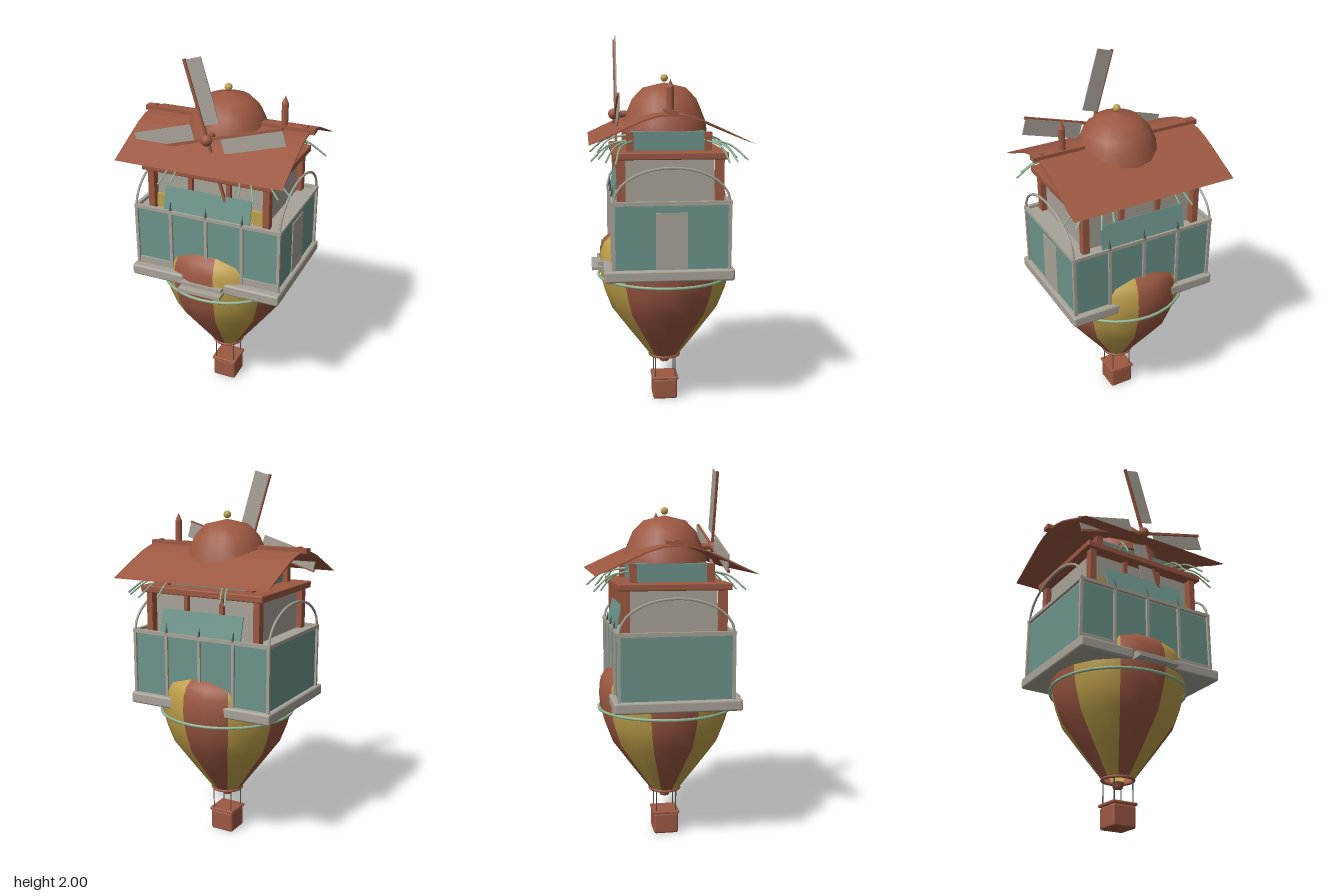
import * as THREE from 'three';
import { RoundedBoxGeometry } from 'three/addons/geometries/RoundedBoxGeometry.js';

const V2 = (x, y) => new THREE.Vector2(x, y);
const V3 = (x, y, z) => new THREE.Vector3(x, y, z);
const mat = (name, color, side = THREE.FrontSide) => {
  const m = new THREE.MeshStandardMaterial({ color, side });
  m.name = name;
  return m;
};

export function createModel() {
  const root = new THREE.Group();
  root.name = 'flyingWindmillHouse';
  const red = mat('terracotta', 0x9c5842, THREE.DoubleSide);
  const gold = mat('mustard', 0xbfa04a, THREE.DoubleSide);
  const teal = mat('teal', 0x6b938a, THREE.DoubleSide);
  const grey = mat('warmGrey', 0xa8a398);
  const green = mat('paleGreen', 0x8fb393);
  const dark = mat('darkMetal', 0x55564f);

  const add = (name, geo, m, x = 0, y = 0, z = 0, parent = root) => {
    const o = new THREE.Mesh(geo, m);
    o.name = name;
    o.position.set(x, y, z);
    parent.add(o);
    return o;
  };
  // box given by its min and max on each axis
  const box = (name, m, x0, x1, y0, y1, z0, z1, parent = root) =>
    add(name, new THREE.BoxGeometry(x1 - x0, y1 - y0, z1 - z0), m,
      (x0 + x1) / 2, (y0 + y1) / 2, (z0 + z1) / 2, parent);
  const rod = (name, m, r, y0, y1, x, z, sides = 8) =>
    add(name, new THREE.CylinderGeometry(r, r, y1 - y0, sides), m, x, (y0 + y1) / 2, z);
  const tube = (name, m, pts, r) =>
    add(name, new THREE.TubeGeometry(new THREE.CatmullRomCurve3(pts), 16, r, 6), m);

  // Basket, ropes and burner
  add('basket', new RoundedBoxGeometry(0.135, 0.115, 0.135, 2, 0.012), red, 0, 0.0575, 0);
  add('basketRim', new RoundedBoxGeometry(0.147, 0.016, 0.147, 2, 0.006), red, 0, 0.122, 0);
  for (const x of [-0.055, 0.055]) for (const z of [-0.055, 0.055])
    rod('basketRope', dark, 0.003, 0.12, 0.25, x, z, 5);
  add('burner', new THREE.CylinderGeometry(0.035, 0.025, 0.03, 10), red, 0, 0.222, 0);

  // Striped envelope: nine stripes, two red ones meet at the left side
  const skin = [[0.08, 0.25], [0.19, 0.395], [0.297, 0.54], [0.335, 0.64], [0.356, 0.72], [0.362, 0.79],
    [0.356, 0.86], [0.335, 0.91], [0.3, 0.94], [0.2, 1.01], [0, 1.05]].map(p => V2(...p));
  for (let i = 0; i < 9; i++) {
    const start = Math.PI / 2 + i * Math.PI * 2 / 9;
    add('envelopeStripe', new THREE.LatheGeometry(skin, 2, start, Math.PI * 2 / 9), i % 2 ? gold : red);
  }
  const ring = (name, m, r, t, y) => {
    add(name, new THREE.TorusGeometry(r, t, 8, 36), m, 0, y, 0).rotation.x = Math.PI / 2;
  };
  ring('mouthRing', red, 0.082, 0.008, 0.25);
  ring('envelopeRing', green, 0.363, 0.008, 0.72);

  // Platform with split front lip and step
  add('platform', new RoundedBoxGeometry(0.84, 0.06, 0.64, 2, 0.012), grey, 0, 0.8, 0);
  for (const s of [-1, 1])
    add('platformLip', new RoundedBoxGeometry(0.305, 0.06, 0.06, 2, 0.012), grey, s * 0.2675, 0.8, 0.31);
  box('frontStep', grey, -0.12, 0.12, 0.768, 0.786, 0.31, 0.4);
  box('frontTread', grey, -0.115, 0.115, 0.79, 0.81, 0.31, 0.368);

  // Lower storey: walls, frame and door
  box('lowerHouse', teal, -0.395, 0.395, 0.82, 1.155, -0.29, 0.288);
  box('deck', grey, -0.395, 0.395, 1.155, 1.162, -0.29, 0.288);
  for (const s of [-1, 1]) {
    for (const x of [-0.4, -0.2, 0, 0.2, 0.4])
      box('framePost', grey, x - 0.008, x + 0.008, 0.83, 1.175, s * 0.293 - 0.008, s * 0.293 + 0.008);
    box('longRail', grey, -0.408, 0.408, 1.16, 1.178, s * 0.293 - 0.01, s * 0.293 + 0.01);
    box('sideRail', grey, s * 0.4 - 0.01, s * 0.4 + 0.01, 1.16, 1.178, -0.3, 0.3);
    box('kickPlate', grey, s * 0.29 - 0.1, s * 0.29 + 0.1, 0.83, 0.868, 0.288, 0.297);
    // arched hoop over each end
    const arch = [];
    for (let i = 0; i <= 10; i++) {
      const a = Math.PI * i / 10;
      arch.push(V3(s * 0.4, 1.17 + 0.175 * Math.sin(a), 0.293 * Math.cos(a)));
    }
    tube('endHoop', grey, arch, 0.007);
  }
  box('door', grey, 0.394, 0.4, 0.83, 1.12, -0.08, 0.08);

  // Upper storey: walls, posts, wall plate and awnings
  box('upperWalls', grey, -0.305, 0.305, 1.16, 1.385, -0.225, 0.225);
  box('flowerPanel', gold, -0.3, 0.3, 1.16, 1.237, 0.228, 0.245);
  for (const s of [-1, 1]) {
    for (const x of [-0.318, 0.318])
      box('cornerPost', red, x - 0.017, x + 0.017, 1.16, 1.385, s * 0.25 - 0.022, s * 0.25 + 0.022);
    for (const x of [-0.105, 0.105])
      box('wallPost', red, x - 0.011, x + 0.011, 1.16, 1.385, s * 0.238 - 0.012, s * 0.238 + 0.012);
    const awning = box('awning', teal, -0.24, 0.24, 1.165, 1.3, s * 0.275 - 0.003, s * 0.275 + 0.003);
    awning.rotation.x = -s * 0.25;
    for (const x of [-0.2, 0, 0.2]) {
      const spike = add('railSpike', new THREE.ConeGeometry(0.008, 0.06, 6), dark, x, 1.2, s * 0.293);
      spike.rotation.x = -s * 0.15;
    }
  }
  add('wallPlate', new RoundedBoxGeometry(0.72, 0.036, 0.58, 2, 0.006), red, 0, 1.398, 0);
  box('atticWalls', teal, -0.24, 0.24, 1.41, 1.51, -0.19, 0.19);
  for (const x of [-0.25, 0.25]) for (const z of [-0.2, 0.2])
    box('atticPost', red, x - 0.018, x + 0.018, 1.41, 1.51, z - 0.018, z + 0.018);

  // Curved roof: thin section swept along x
  const outer = [[0.408, 1.462], [0.33, 1.498], [0.24, 1.54], [0.15, 1.58], [0.075, 1.602], [0, 1.609]];
  const top = [...outer.map(([z, y]) => [-z, y]), ...outer.slice(0, -1).reverse()];
  const section = [...top, ...top.slice(1, -1).reverse().map(([z, y]) => [z, y - 0.008])];
  const roofGeo = new THREE.ExtrudeGeometry(new THREE.Shape(section.map(p => V2(...p))),
    { depth: 0.89, bevelEnabled: false });
  roofGeo.translate(0, 0, -0.445).rotateY(Math.PI / 2);
  add('roof', roofGeo, red);
  box('ridgeBeam', red, -0.468, 0.468, 1.6, 1.625, -0.024, 0.024);
  for (const s of [-1, 1]) box('ridgeCap', red, s * 0.418 - 0.01, s * 0.418 + 0.01, 1.62, 1.631, -0.013, 0.013);
  rod('ridgePost', red, 0.018, 1.6, 1.735, 0.305, 0, 8);
  add('ridgePostTip', new THREE.ConeGeometry(0.018, 0.04, 8), red, 0.305, 1.755, 0);

  // Dome and finial
  const dome = [[0.23, 1.5], [0.222, 1.55], [0.196, 1.615], [0.172, 1.67], [0.115, 1.728], [0, 1.755]];
  add('dome', new THREE.LatheGeometry(dome.map(p => V2(...p)), 16), red);
  add('finial', new THREE.SphereGeometry(0.02, 12, 8), gold, 0, 1.778, 0);

  // Windmill: shaft, hub and four sails
  add('millShaft', new THREE.CylinderGeometry(0.018, 0.018, 0.12, 10), red, 0, 1.59, 0.215).rotation.x = Math.PI / 2;
  add('millHub', new THREE.SphereGeometry(0.03, 12, 8), red, 0, 1.59, 0.27);
  for (let i = 0; i < 4; i++) {
    const sail = new THREE.Group();
    sail.name = 'millSail';
    sail.position.set(0, 1.59, 0.26);
    sail.rotation.z = (16.5 + 90 * i) * Math.PI / 180;
    box('sailSpar', red, -0.007, 0.007, 0, 0.405, -0.005, 0.008, sail);
    box('sailPanel', grey, 0, 0.087, 0.07, 0.4, -0.006, 0, sail);
    root.add(sail);
  }

  // Hanging cords under the eaves: start x, tip x, tip z
  const cords = [[-0.14, -0.21, 0.4], [-0.12, -0.16, 0.36], [0.17, 0.21, 0.36], [0.2, 0.3, 0.4],
    [0.23, 0.4, 0.33], [0.25, 0.447, 0.28]];
  for (const s of [-1, 1]) for (const [x0, x1, z1] of cords)
    tube('hangingCord', green, [V3(x0, 1.47, s * 0.18),
      V3((x0 + x1) / 2, 1.445, s * (0.22 + z1) / 2), V3(x1, 1.37, s * z1)], 0.005);

  return root;
}
